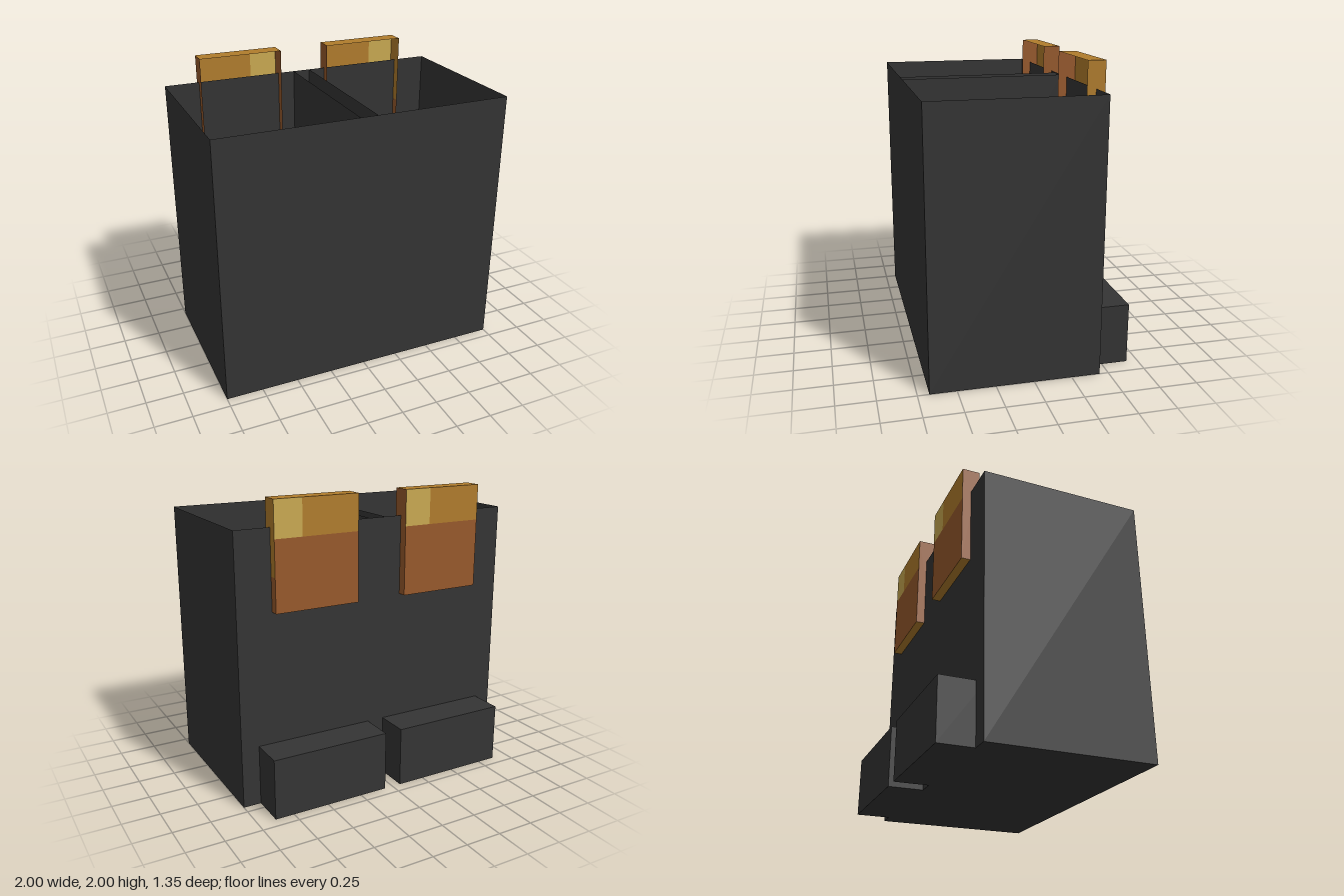
import * as THREE from 'three';

const mat = (name, color) => new THREE.MeshStandardMaterial({ name, color, side: THREE.DoubleSide });

export function createModel() {
  const charcoal = mat('charcoal', 0x343434);
  const gold = mat('gold', 0xb07c2c);
  const paleGold = mat('pale gold', 0xc9a951);
  const brown = mat('brown', 0x97592b);

  // Thin rectangles, each lying across one axis
  const sheet = (parent, name, material, w, h, x, y, z, turn) => {
    const geometry = new THREE.PlaneGeometry(w, h);
    if (turn) turn(geometry);
    const mesh = new THREE.Mesh(geometry, material);
    mesh.name = name;
    mesh.position.set(x, y, z);
    parent.add(mesh);
  };
  const acrossX = (p, name, m, x, [y0, y1], [z0, z1]) =>
    sheet(p, name, m, z1 - z0, y1 - y0, x, (y0 + y1) / 2, (z0 + z1) / 2,
      (g) => g.rotateY(x < 0 ? -Math.PI / 2 : Math.PI / 2));
  const acrossY = (p, name, m, y, [x0, x1], [z0, z1]) =>
    sheet(p, name, m, x1 - x0, z1 - z0, (x0 + x1) / 2, y, (z0 + z1) / 2,
      (g) => g.rotateX(-Math.PI / 2));
  const acrossZ = (p, name, m, z, [x0, x1], [y0, y1]) =>
    sheet(p, name, m, x1 - x0, y1 - y0, (x0 + x1) / 2, (y0 + y1) / 2, z,
      (g) => z < 0 && g.rotateY(Math.PI));

  const model = new THREE.Group();
  model.name = 'binWithPockets';

  // Open-topped bin with a narrow slot down the middle
  const H = 1.825, back = -0.44, front = 0.675, depth = [back, front];
  const bin = new THREE.Group();
  bin.name = 'bin';
  model.add(bin);
  acrossY(bin, 'floor', charcoal, 0, [-1, 1], depth);
  acrossZ(bin, 'frontWall', charcoal, front, [-1, 1], [0, H]);
  acrossZ(bin, 'backWall', charcoal, back, [-1, 1], [0, H]);
  for (const s of [-1, 1]) {
    acrossX(bin, 'sideWall', charcoal, s, [0, H], depth);
    acrossX(bin, 'divider', charcoal, s * 0.06, [0, H], depth);
  }

  for (const s of [-1, 1]) {
    const cx = s * 0.47;

    // Low pocket, open towards the bin
    const pocket = new THREE.Group();
    pocket.name = s > 0 ? 'leftPocket' : 'rightPocket';
    model.add(pocket);
    const px = [cx - 0.41, cx + 0.41], pz = [-0.675, -0.38], py = [0, 0.41];
    acrossZ(pocket, 'pocketBack', charcoal, pz[0], px, py);
    acrossY(pocket, 'pocketTop', charcoal, py[1], px, pz);
    acrossY(pocket, 'pocketBottom', charcoal, 0, px, pz);
    for (const x of px) acrossX(pocket, 'pocketSide', charcoal, x, py, pz);

    // Tall tab, open towards the bin, with coloured panels
    const tab = new THREE.Group();
    tab.name = s > 0 ? 'leftTab' : 'rightTab';
    model.add(tab);
    const x0 = cx - 0.292, x1 = cx + 0.292, z = [-0.5, -0.38];
    const low = 1.295, top = 2, split = 1.76, stripe = x1 - 0.19;
    acrossZ(tab, 'tabLowerBack', brown, z[0], [x0, x1], [low, split]);
    acrossZ(tab, 'tabUpperBack', gold, z[0], [x0, stripe], [split, top]);
    acrossZ(tab, 'tabCorner', paleGold, z[0], [stripe, x1], [split, top]);
    acrossY(tab, 'tabTop', gold, top, [x0, x1], z);
    acrossY(tab, 'tabBottom', gold, low, [x0, x1], z);
    acrossX(tab, 'tabRightSide', brown, x0, [low, top], z);
    // The outer side of the left tab is mostly gold
    const sideSplit = s > 0 ? 1.52 : top;
    acrossX(tab, 'tabLeftSide', brown, x1, [low, sideSplit], z);
    if (s > 0) acrossX(tab, 'tabLeftSideUpper', gold, x1, [sideSplit, top], z);
  }
  return model;
}
